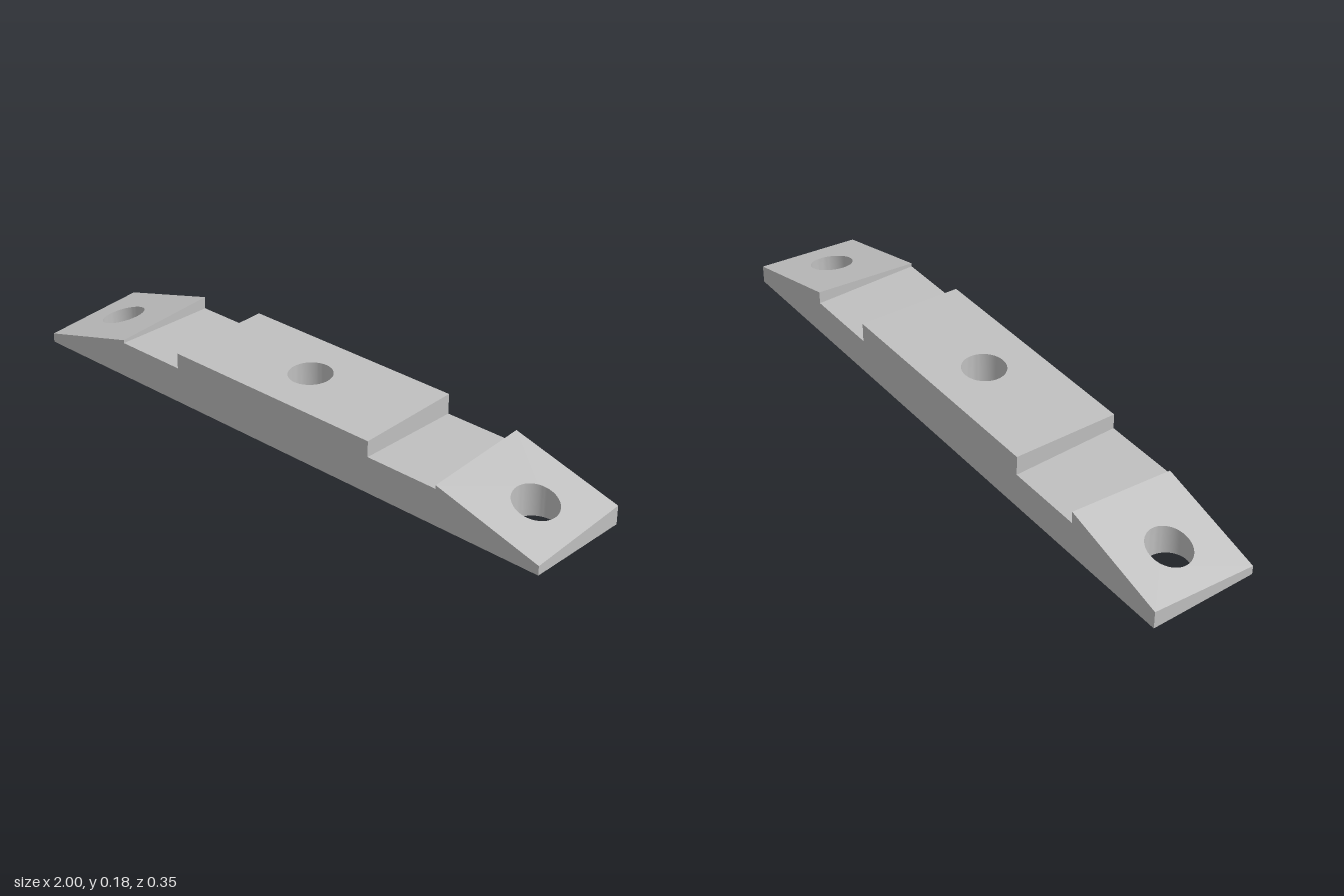
import * as THREE from 'three';
import { toCreasedNormals } from 'three/addons/utils/BufferGeometryUtils.js';

const HALF_DEPTH = 0.176;
const FLOOR = 0.117; // height of the two notches
const HOLE_RADIUS = 0.069;

// Block between x0 and x1, with an optional vertical hole and a top that follows height(x, z)
function block(x0, x1, height, holeX) {
  const shape = new THREE.Shape();
  shape.moveTo(x0, -HALF_DEPTH);
  shape.lineTo(x1, -HALF_DEPTH);
  shape.lineTo(x1, HALF_DEPTH);
  shape.lineTo(x0, HALF_DEPTH);
  shape.closePath();
  if (holeX !== undefined) {
    const hole = new THREE.Path();
    hole.absarc(holeX, 0, HOLE_RADIUS, 0, Math.PI * 2, true);
    shape.holes.push(hole);
  }
  const geometry = new THREE.ExtrudeGeometry(shape, { depth: 1, bevelEnabled: false, curveSegments: 32 });
  geometry.rotateX(-Math.PI / 2);

  const p = geometry.attributes.position;
  const n = geometry.attributes.normal;
  const kept = [];
  for (let i = 0; i < p.count; i += 3) {
    const corners = [0, 1, 2].map((k) => {
      const v = new THREE.Vector3().fromBufferAttribute(p, i + k);
      if (v.y > 0.5) v.y = height(v.x, v.z);
      // Walls where blocks meet start at the notch floor, leaving no hidden faces
      const onJoint = Math.abs(v.x - x0) < 1e-4 || Math.abs(v.x - x1) < 1e-4;
      if (onJoint && Math.abs(v.x) < 0.9 && Math.abs(n.getX(i + k)) > 0.99) v.y = Math.max(v.y, FLOOR);
      return v;
    });
    if (new THREE.Triangle(...corners).getArea() > 1e-9) {
      corners.forEach((v) => kept.push(v.x, v.y, v.z));
    }
  }
  const result = new THREE.BufferGeometry();
  result.setAttribute('position', new THREE.Float32BufferAttribute(kept, 3));
  return toCreasedNormals(result, 0.6);
}

export function createModel() {
  const group = new THREE.Group();
  group.name = 'wedgeBar';
  const grey = new THREE.MeshStandardMaterial({ color: 0xc0c0c0 });
  grey.name = 'lightGrey';

  // Top surfaces: all raised pads lean slightly towards the front
  const padTop = (x, z) => 0.175 - 0.04 * z;
  const notchTop = () => FLOOR;
  const rampTop = (x, z) => 0.045 + 0.274 * (1 - Math.abs(x)) - 0.0855 * z;

  const parts = [
    ['rightRamp', -1, -0.645, rampTop, -0.85],
    ['rightNotch', -0.645, -0.395, notchTop],
    ['centrePad', -0.395, 0.39, padTop, 0],
    ['leftNotch', 0.39, 0.64, notchTop],
    ['leftRamp', 0.64, 1, rampTop, 0.85],
  ];
  for (const [name, x0, x1, height, holeX] of parts) {
    const mesh = new THREE.Mesh(block(x0, x1, height, holeX), grey);
    mesh.name = name;
    group.add(mesh);
  }
  return group;
}
